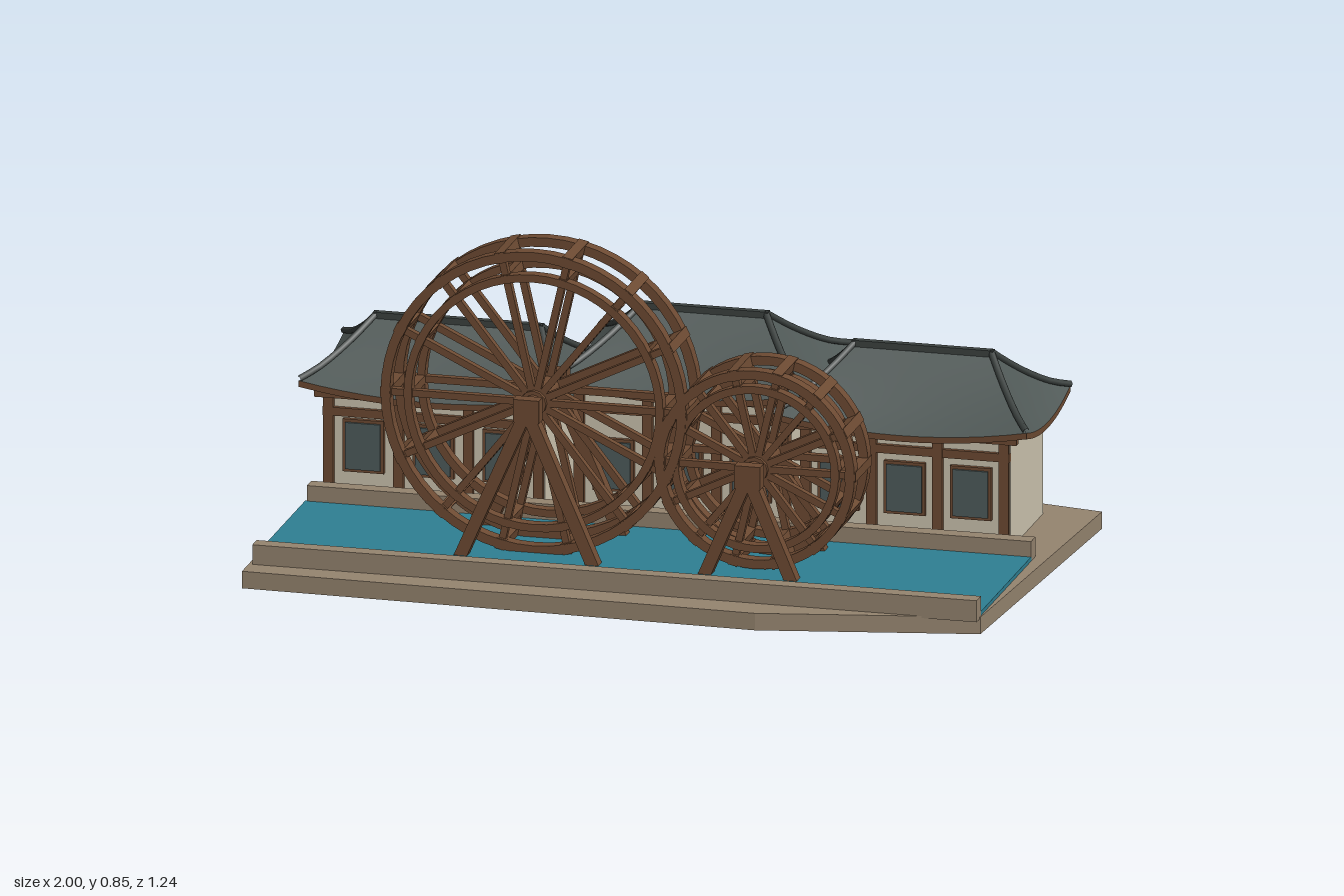
import * as THREE from 'three';

const mat = (name, color, side = THREE.FrontSide) => {
  const m = new THREE.MeshStandardMaterial({ color, side });
  m.name = name;
  return m;
};

export function createModel() {
  const wood = mat('wood', 0x6e4b33, THREE.DoubleSide);
  const stone = mat('stone', 0x968570);
  const water = mat('water', 0x2f8093);
  const plaster = mat('plaster', 0xcfc6b1);
  const tile = mat('roof tile', 0x505957, THREE.DoubleSide);
  const ridgeTile = mat('ridge tile', 0x3c4240);
  const pane = mat('window pane', 0x4f5c5d);

  const root = new THREE.Group();
  root.name = 'waterWheelVillage';

  const add = (parent, name, geo, material, x = 0, y = 0, z = 0) => {
    const m = new THREE.Mesh(geo, material);
    m.name = name;
    m.position.set(x, y, z);
    parent.add(m);
    return m;
  };
  // Box given by its two extreme corners
  const block = (parent, name, material, x0, x1, y0, y1, z0, z1) =>
    add(parent, name, new THREE.BoxGeometry(x1 - x0, y1 - y0, z1 - z0), material,
      (x0 + x1) / 2, (y0 + y1) / 2, (z0 + z1) / 2);
  const group = (name) => {
    const g = new THREE.Group();
    g.name = name;
    root.add(g);
    return g;
  };

  // Ground slab
  const outline = [[-0.97, 0.595], [0.38, 0.615], [0.94, 0.5], [1, -0.47], [0.18, -0.62], [-0.97, -0.465]];
  const slab = new THREE.ExtrudeGeometry(
    new THREE.Shape(outline.map(([x, z]) => new THREE.Vector2(x, -z))), { depth: 0.045, bevelEnabled: false });
  slab.rotateX(-Math.PI / 2);
  add(root, 'groundSlab', slab, stone);

  // Water channel and its two kerbs
  block(root, 'water', water, -0.965, 0.938, 0.04, 0.056, -0.01, 0.49);
  block(root, 'frontKerb', stone, -0.96, 0.938, 0.04, 0.097, 0.488, 0.53);
  block(root, 'backKerb', stone, -0.96, 0.938, 0.04, 0.097, -0.048, -0.005);

  // Water wheels
  const annulus = (rOut, rIn, depth) => {
    const s = new THREE.Shape().absarc(0, 0, rOut, 0, Math.PI * 2, false);
    s.holes.push(new THREE.Path().absarc(0, 0, rIn, 0, Math.PI * 2, true));
    const g = new THREE.ExtrudeGeometry(s, { depth, bevelEnabled: false, curveSegments: 28 });
    return g.translate(0, 0, -depth / 2);
  };
  const wheel = (name, cx, cy, R, rInner, legSpread, legZ) => {
    const g = group(name);
    g.position.set(cx, cy, 0.2);
    const n = 14;
    for (const s of [-1, 1]) {
      add(g, 'outerRim', annulus(R, R - 0.024, 0.034), wood, 0, 0, s * 0.066);
      add(g, 'innerRim', annulus(rInner + 0.01, rInner - 0.01, 0.03), wood, 0, 0, s * 0.066);
    }
    for (let i = 0; i < n; i++) {
      const arm = new THREE.Group();
      arm.name = 'spokeArm';
      arm.rotation.z = (i / n) * Math.PI * 2;
      g.add(arm);
      for (const s of [-1, 1]) block(arm, 'spoke', wood, 0.01, R - 0.008, -0.009, 0.009, s * 0.064 - 0.01, s * 0.064 + 0.01);
      block(arm, 'paddle', wood, R - 0.026, R + 0.002, -0.013, 0.013, -0.082, 0.082);
      block(arm, 'innerRung', wood, rInner - 0.011, rInner + 0.011, -0.011, 0.011, -0.08, 0.08);
    }
    // Hub and axle
    const rod = (r, l) => new THREE.CylinderGeometry(r, r, l, 12).rotateX(Math.PI / 2);
    add(g, 'hub', rod(0.034, 0.17), wood);
    add(g, 'axle', rod(0.024, 0.31), wood);
    // Trestles: splayed legs with a bearing beam on each side
    const drop = cy - 0.05;
    for (const s of [-1, 1]) {
      for (const d of [-1, 1]) {
        const leg = add(g, 'trestleLeg', new THREE.BoxGeometry(0.032, Math.hypot(drop, legSpread), 0.034), wood,
          d * legSpread / 2, -drop / 2, s * legZ);
        leg.rotation.z = Math.atan2(d * legSpread, drop);
      }
      block(g, 'bearing', wood, -0.034, 0.034, -0.03, 0.03, s * legZ - 0.018, s * legZ + 0.018);
    }
  };
  wheel('largeWheel', -0.29, 0.45, 0.4, 0.33, 0.175, 0.137);
  wheel('smallWheel', 0.29, 0.32, 0.262, 0.21, 0.115, 0.137);

  // Grid surface from a point rule f(u, v)
  const patch = (f, nu, nv) => {
    const pos = [], idx = [];
    for (let j = 0; j <= nv; j++) for (let i = 0; i <= nu; i++) pos.push(...f(i / nu, j / nv));
    for (let j = 0; j < nv; j++) for (let i = 0; i < nu; i++) {
      const a = j * (nu + 1) + i, b = a + nu + 1;
      idx.push(a, b, a + 1, a + 1, b, b + 1);
    }
    const g = new THREE.BufferGeometry();
    g.setAttribute('position', new THREE.Float32BufferAttribute(pos, 3));
    g.setIndex(idx);
    g.computeVertexNormals();
    return g;
  };

  // Hipped roof with concave slopes and lifted corners
  const roof = (g, o) => {
    const [x0, x1, z0, z1] = o.eave;
    const [r0, r1] = o.ridge;
    const rz = (z0 + z1) / 2;
    const lift = 0.032;
    const eaves = [[x0, z1], [x1, z1], [x1, z0], [x0, z0]];
    const tops = [r0, r1, r1, r0];
    const at = (k, u, t, dy = 0) => {
      const a = eaves[k], b = eaves[(k + 1) % 4];
      const ta = tops[k], tb = tops[(k + 1) % 4];
      const ex = a[0] + (b[0] - a[0]) * u, ez = a[1] + (b[1] - a[1]) * u;
      const rx = ta + (tb - ta) * u;
      const fall = 1 - Math.pow(1 - t, 1.15);
      const y = o.top - (o.top - o.low) * fall + lift * t * t * Math.pow(Math.abs(2 * u - 1), 2);
      return [rx + (ex - rx) * t, y + dy, rz + (ez - rz) * t];
    };
    for (let k = 0; k < 4; k++) {
      add(g, 'roofSlope', patch((u, v) => at(k, u, v), 12, 6), tile);
      add(g, 'soffit', patch((u, v) => at(k, 1 - u, v, -0.016), 12, 6), wood);
      add(g, 'eaveBoard', patch((u, v) => at(k, u, 1, -0.016 * v), 12, 1), wood);
      const pts = [0, 0.25, 0.5, 0.75, 1].map((t) => new THREE.Vector3(...at(k, 0, t, 0.004)));
      add(g, 'hipRidge', new THREE.TubeGeometry(new THREE.CatmullRomCurve3(pts), 8, 0.009, 6), ridgeTile);
    }
    block(g, 'mainRidge', ridgeTile, r0 - 0.008, r1 + 0.008, o.top - 0.008, o.top + 0.009, rz - 0.01, rz + 0.01);
  };

  // Houses: plaster body, front timber frame, windows, roof
  const house = (name, o) => {
    const g = group(name);
    const [x0, x1, z0, z1] = o.walls;
    const top = o.low + 0.012;
    block(g, 'walls', plaster, x0, x1, 0.045, top, z0, z1);
    const bays = 3, w = (x1 - x0 - 0.03) / bays;
    for (let i = 0; i <= bays; i++) {
      const x = x0 + 0.015 + i * w;
      block(g, 'post', wood, x - 0.013, x + 0.013, 0.045, top - 0.005, z1 - 0.005, z1 + 0.014);
      if (i === bays) continue;
      const c = x + w / 2;
      block(g, 'windowFrame', wood, c - 0.054, c + 0.054, 0.118, 0.257, z1 - 0.002, z1 + 0.012);
      block(g, 'windowPane', pane, c - 0.046, c + 0.046, 0.126, 0.249, z1 + 0.011, z1 + 0.018);
    }
    block(g, 'lintel', wood, x0, x1, o.low - 0.062, o.low - 0.04, z1 - 0.004, z1 + 0.012);
    block(g, 'topBeam', wood, x0 - 0.02, x1 + 0.02, top - 0.026, top - 0.002, z1 - 0.004, z1 + 0.018);
    roof(g, o);
  };
  house('leftwardHouse', {
    walls: [-0.94, -0.36, -0.43, -0.095], eave: [-0.995, -0.31, -0.5, -0.055],
    ridge: [-0.85, -0.42], top: 0.478, low: 0.325,
  });
  house('middleHouse', {
    walls: [-0.285, 0.285, -0.47, -0.1], eave: [-0.33, 0.325, -0.535, -0.06],
    ridge: [-0.16, 0.165], top: 0.552, low: 0.385,
  });
  house('rightwardHouse', {
    walls: [0.31, 0.86, -0.415, -0.095], eave: [0.25, 0.915, -0.477, -0.045],
    ridge: [0.41, 0.765], top: 0.507, low: 0.338,
  });

  return root;
}
